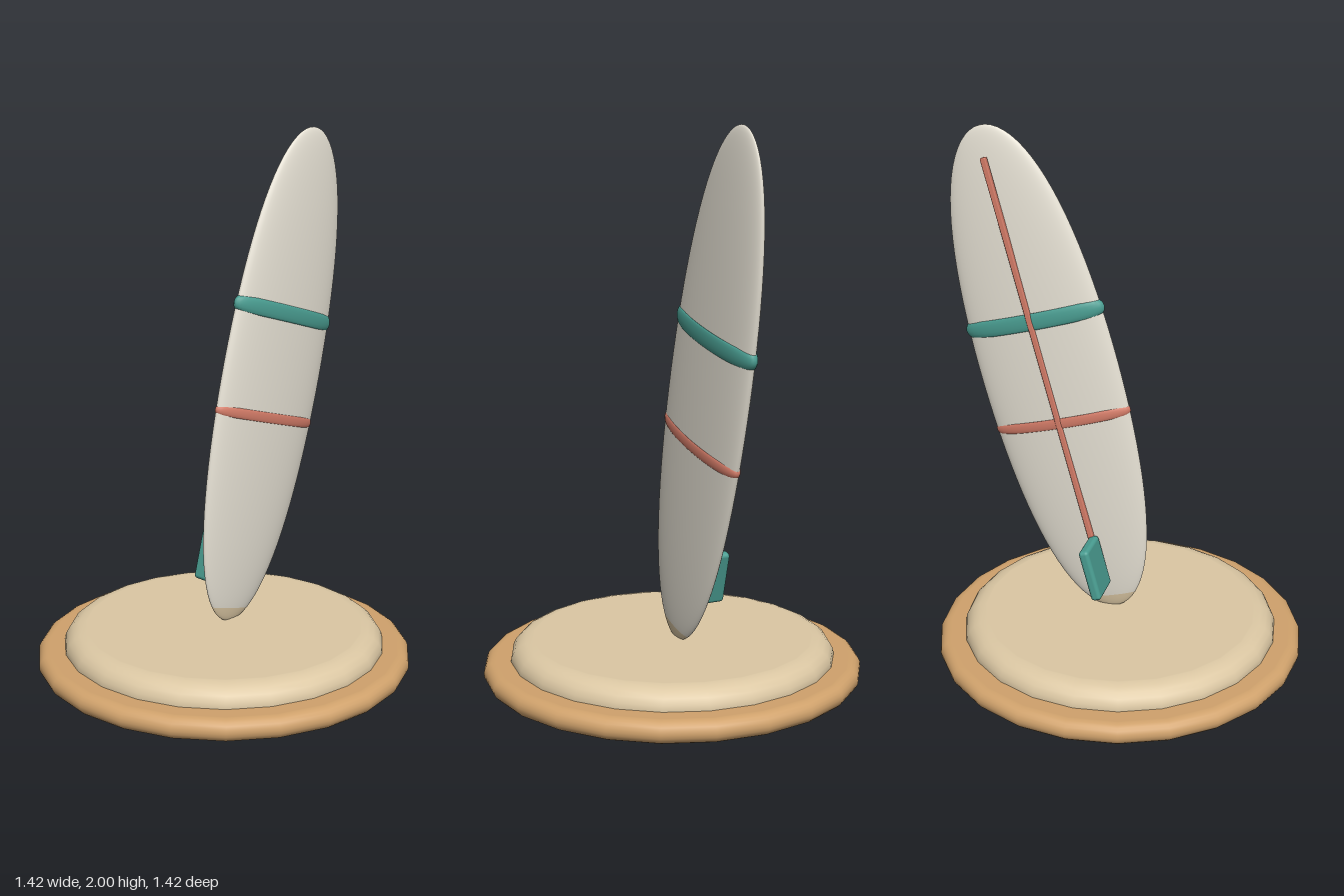
import * as THREE from 'three';
import { RoundedBoxGeometry } from 'three/addons/geometries/RoundedBoxGeometry.js';

const material = (name, color) => {
  const m = new THREE.MeshStandardMaterial({ color });
  m.name = name;
  return m;
};

export function createModel() {
  const sand = material('sand', 0xdcc8a4);
  const wood = material('wood', 0xd0a26c);
  const ivory = material('ivory', 0xe6e1d4);
  const teal = material('teal', 0x4a9e92);
  const coral = material('coral', 0xd47c68);

  const model = new THREE.Group();
  model.name = 'surfboardOnStand';

  const add = (parent, name, geometry, mat, x = 0, y = 0, z = 0) => {
    const mesh = new THREE.Mesh(geometry, mat);
    mesh.name = name;
    mesh.position.set(x, y, z);
    parent.add(mesh);
    return mesh;
  };

  // Round disc with a softened rim: inner radius, outer radius, heights, rim radius
  const disc = (inner, outer, y0, y1, rim) => {
    const mid = (y0 + y1) / 2, half = (y1 - y0) / 2, flat = outer - rim;
    const points = [new THREE.Vector2(inner, y0), new THREE.Vector2(flat - 0.005, y0)];
    for (let i = 0; i <= 10; i++) {
      const a = -Math.PI / 2 + (Math.PI * i) / 10;
      points.push(new THREE.Vector2(flat + rim * Math.cos(a), mid + half * Math.sin(a)));
    }
    points.push(new THREE.Vector2(flat - 0.005, y1), new THREE.Vector2(inner, y1));
    return new THREE.LatheGeometry(points, 24);
  };

  // Stand: wooden rim around a sand disc
  add(model, 'woodenBase', disc(0.56, 0.71, 0, 0.08, 0.04), wood);
  add(model, 'sandDisc', disc(0, 0.61, 0.005, 0.15, 0.08), sand);
  const underside = new THREE.CircleGeometry(0.56, 24).rotateX(Math.PI / 2);
  add(model, 'sandUnderside', underside, sand);

  // Leaning board with all its fittings
  const board = new THREE.Group();
  board.name = 'board';
  board.position.set(0.265, 1.07, 0);
  board.rotation.z = -0.26;
  model.add(board);

  // Thin ellipsoid, slightly fuller towards the ends
  const HALF_LENGTH = 0.958;
  const hull = (from, to, rows) => {
    const g = new THREE.SphereGeometry(1, 48, rows, 0, Math.PI * 2, from, to - from);
    g.scale(0.273, HALF_LENGTH, 0.05);
    const p = g.attributes.position;
    for (let i = 0; i < p.count; i++) {
      const u = p.getY(i) / HALF_LENGTH;
      p.setX(i, p.getX(i) * (1 + 0.12 * u * u));
    }
    return g;
  };
  const split = Math.acos(-0.945);
  add(board, 'boardHull', hull(0, split, 40), ivory);
  add(board, 'boardTail', hull(split, Math.PI, 6), sand);

  // Bands wrapped around the board
  const bands = [
    ['upperBand', 0.246, 0.032, 0.24, teal],
    ['lowerBand', 0.254, 0.02, -0.16, coral],
  ];
  for (const [name, radius, tube, y, mat] of bands) {
    const g = new THREE.TorusGeometry(radius, tube, 14, 48).rotateX(Math.PI / 2).scale(1, 1, 0.2);
    add(board, name, g, mat, 0, y, 0);
  }

  // Stringer along the back, and the fin
  add(board, 'stringer', new RoundedBoxGeometry(0.022, 1.7, 0.022, 2, 0.005), coral, 0, 0, -0.047);
  add(board, 'fin', new RoundedBoxGeometry(0.04, 0.207, 0.15, 3, 0.014), teal, -0.01, -0.733, -0.115);

  return model;
}
